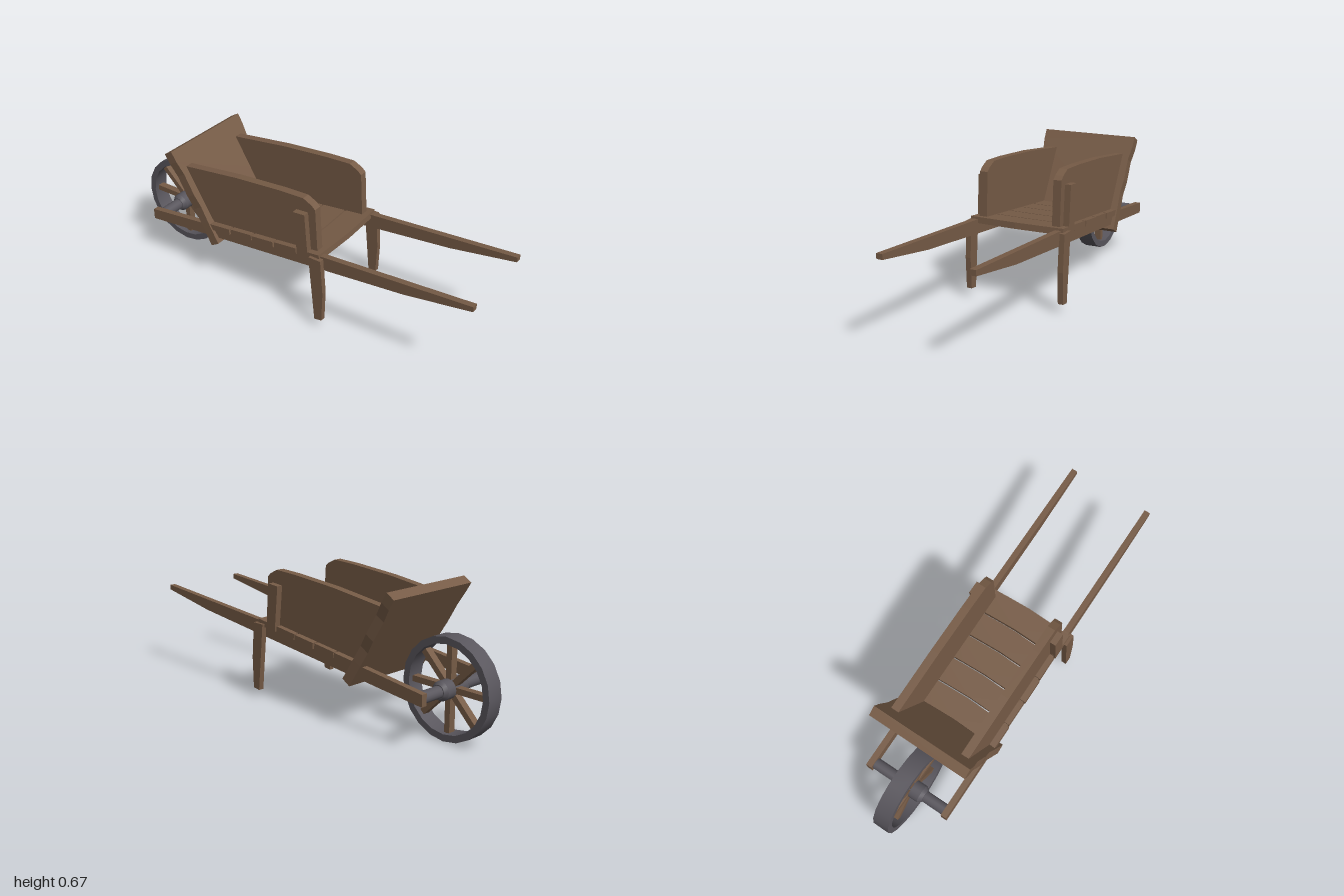
import * as THREE from 'three';
import { toCreasedNormals } from 'three/addons/utils/BufferGeometryUtils.js';

const wood = new THREE.MeshStandardMaterial({ color: 0x765b46 });
wood.name = 'wood';
const iron = new THREE.MeshStandardMaterial({ color: 0x59565d });
iron.name = 'iron';

function add(parent, name, geometry, material) {
  const mesh = new THREE.Mesh(geometry, material);
  mesh.name = name;
  parent.add(mesh);
  return mesh;
}

function extrude(points, depth) {
  const shape = new THREE.Shape(points.map(([x, y]) => new THREE.Vector2(x, y)));
  return new THREE.ExtrudeGeometry(shape, { depth, bevelEnabled: false });
}

// Side profile given as [z, y], running across from x0 to x1
function sideProfile(points, x0, x1) {
  return extrude(points.map(([z, y]) => [-z, y]), x1 - x0).rotateY(Math.PI / 2).translate(x0, 0, 0);
}

// Turned part around the x axis, profile given as [radius, x]
function turned(points, segments) {
  const profile = points.map(([r, x]) => new THREE.Vector2(r, x));
  return toCreasedNormals(new THREE.LatheGeometry(profile, segments).rotateZ(-Math.PI / 2), 0.5);
}

export function createModel() {
  const model = new THREE.Group();
  model.name = 'wheelbarrow';

  // Parts made in mirrored pairs: profile and the x range on the left side
  const pairs = {
    Handle: [[[1, 0.445], [0.25, 0.39], [-0.8, 0.265], [-0.8, 0.21], [0.25, 0.32], [0.67, 0.365], [1, 0.42]], 0.2, 0.23],
    Leg: [[[0.255, 0.38], [0.27, 0.2], [0.265, 0.045], [0.225, 0.04], [0.2, 0.28], [0.19, 0.38]], 0.228, 0.255],
    SidePanel: [[[0.21, 0.385], [0.195, 0.61], [0.175, 0.628], [0.13, 0.65], [0, 0.645], [-0.25, 0.625], [-0.57, 0.585], [-0.405, 0.315]], 0.17, 0.21],
    Post: [[[0.157, 0.585], [0.093, 0.58], [0.115, 0.37], [0.175, 0.375]], 0.21, 0.24],
  };
  for (const [name, [profile, inner, outer]] of Object.entries(pairs)) {
    add(model, 'left' + name, sideProfile(profile, inner, outer), wood);
    add(model, 'right' + name, sideProfile(profile, -outer, -inner), wood);
  }

  // Sloping floor of slightly bowed planks
  const floor = new THREE.Group();
  floor.name = 'floor';
  const seams = [0.238, 0.11, -0.022, -0.155, -0.287, -0.415];
  const widths = [0.24, 0.237, 0.24, 0.236, 0.24];
  widths.forEach((w, i) => {
    const front = -seams[i] + (i ? 0.005 : 0);
    const back = -seams[i + 1] - 0.003;
    const plank = extrude([
      [-w, front], [-w / 2, front - 0.006], [0, front - 0.01], [w / 2, front - 0.006], [w, front],
      [w, back], [w / 2, back - 0.006], [0, back - 0.01], [-w / 2, back - 0.006], [-w, back],
    ], 0.03);
    add(floor, 'plank' + (i + 1), plank.rotateX(-Math.PI / 2).translate(0, -0.03, 0), wood);
  });
  floor.position.y = 0.372;
  floor.rotation.x = -0.115;
  model.add(floor);

  // Leaning end board with a narrower waist
  const edge = [[0.25, 0], [0.246, 0.12], [0.242, 0.2], [0.248, 0.27], [0.245, 0.38], [0.254, 0.45], [0.255, 0.505]];
  const outline = [...edge, ...edge.map(([x, y]) => [-x, y]).reverse()];
  const board = add(model, 'endBoard', extrude(outline, 0.05).translate(0, 0, -0.05), wood);
  board.position.set(0, 0.235, -0.355);
  board.rotation.x = -0.54;

  // Wheel with rim, spokes, hub and axle
  const wheel = new THREE.Group();
  wheel.name = 'wheel';
  wheel.position.set(0, 0.235, -0.765);
  add(wheel, 'rim', turned([[0.203, -0.042], [0.235, -0.042], [0.235, 0.042], [0.203, 0.042], [0.203, -0.042]], 20), iron);
  add(wheel, 'hub', turned([[0.001, -0.085], [0.032, -0.085], [0.045, -0.068], [0.045, 0.068], [0.032, 0.085], [0.001, 0.085]], 16), iron);
  add(wheel, 'axle', turned([[0.001, -0.205], [0.028, -0.205], [0.028, 0.205], [0.001, 0.205]], 16), iron);
  for (let i = 0; i < 8; i++) {
    const spoke = add(wheel, 'spoke', new THREE.BoxGeometry(0.036, 0.185, 0.028).translate(0, 0.1225, 0), wood);
    spoke.rotation.x = (i * Math.PI) / 4;
  }
  model.add(wheel);

  return model;
}
